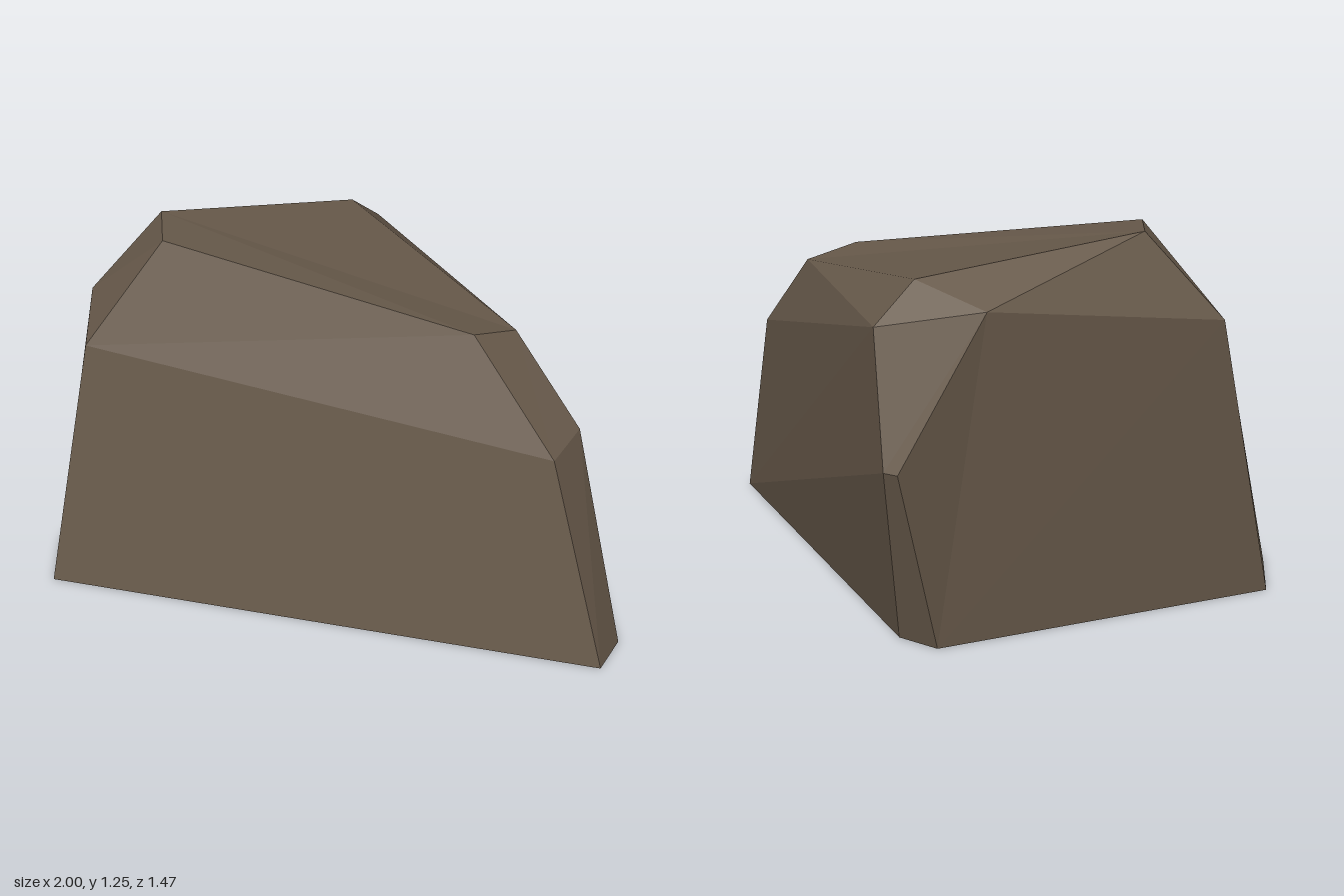
import * as THREE from 'three';

// Corners of the boulder, ring by ring
const corners = {
  // open base
  A: [-1, 0, 0.54], B: [-0.84, 0, 0.735], C: [1, 0, 0], D: [0.98, 0, -0.16], E: [-0.43, 0, -0.603], F: [-0.57, 0, -0.567],
  // shoulder
  K: [-0.943, 0.975, 0.31], R: [-0.782, 0.89, 0.52], Q: [0.742, 0.708, -0.047], P: [0.73, 0.735, -0.23],
  S: [-0.52, 0.615, -0.737], T: [-0.567, 0.615, -0.722], G: [-0.42, 1.033, -0.684], J: [-0.65, 1.08, -0.44],
  // crown
  L: [-0.754, 1.254, 0.133], M: [-0.606, 1.245, 0.292], N: [0.406, 1.056, -0.067], O: [0.458, 1.013, -0.245], H: [-0.42, 1.151, -0.521],
};

// Flat facets, corners counter-clockwise from outside
const facets = [
  'BCQR', 'RQNM',          // front wall and bevel
  'CDPQ', 'QPON',          // left end and bevel
  'ABRK', 'KRML',          // right front corner
  'FAKJT', 'JKL', 'JLH',   // right wall and bevel
  'EFTS', 'STJG', 'GJH',   // back corner
  'DESGP', 'PGO', 'OGH',   // back wall and bevel
  'LMNOH',                 // crown
];

export function createModel() {
  const stone = new THREE.MeshStandardMaterial({ color: 0x67594a, side: THREE.DoubleSide, flatShading: true });
  stone.name = 'brownStone';

  // Each facet is a fan of triangles with its own corners
  const positions = [];
  for (const f of facets) {
    for (let i = 1; i < f.length - 1; i++) {
      positions.push(...corners[f[0]], ...corners[f[i]], ...corners[f[i + 1]]);
    }
  }
  const geometry = new THREE.BufferGeometry();
  geometry.setAttribute('position', new THREE.Float32BufferAttribute(positions, 3));
  geometry.computeVertexNormals();

  const boulder = new THREE.Mesh(geometry, stone);
  boulder.name = 'boulder';
  const group = new THREE.Group();
  group.name = 'rock';
  group.add(boulder);
  return group;
}
